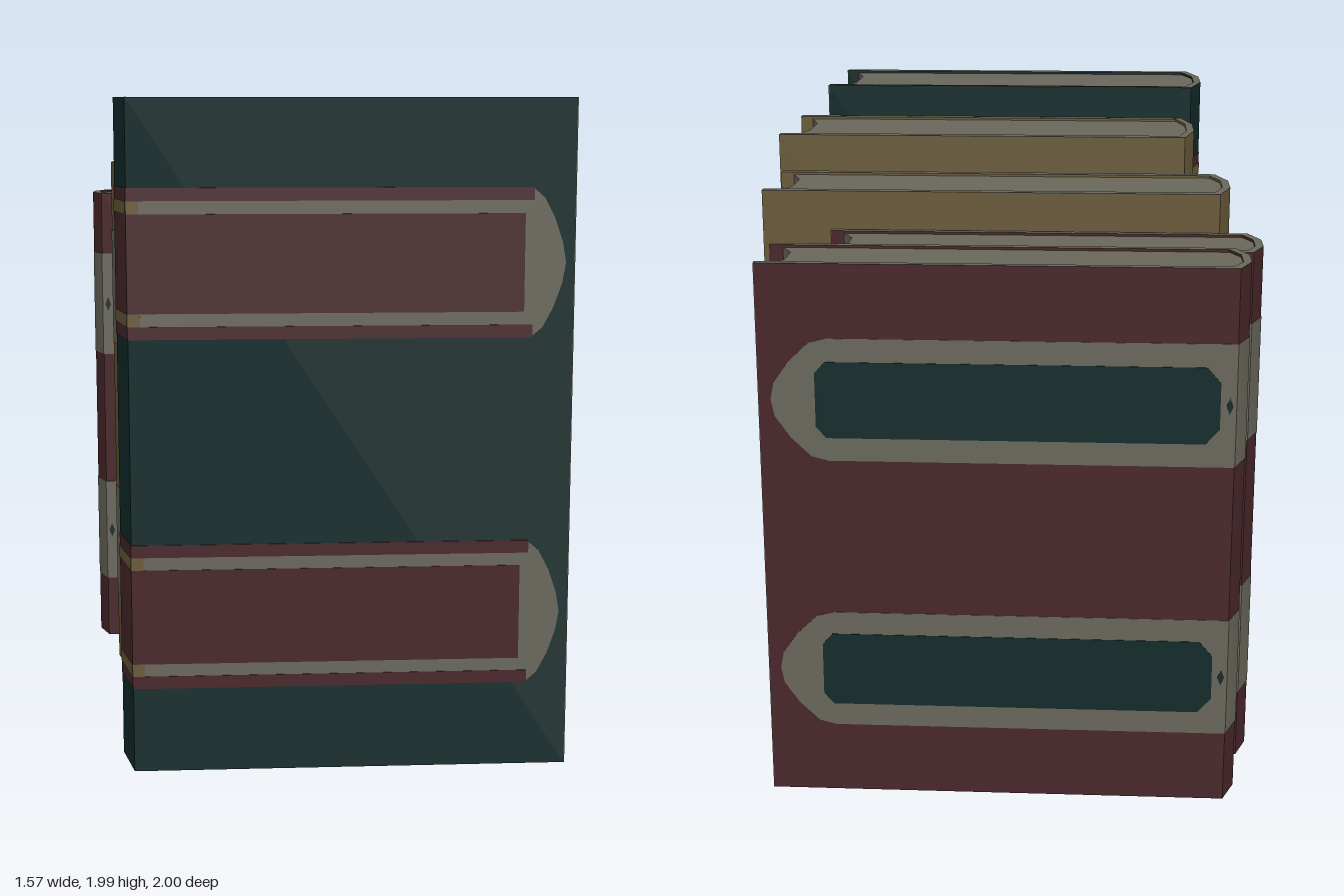
import * as THREE from 'three';
import { toCreasedNormals } from 'three/addons/utils/BufferGeometryUtils.js';

const mat = (name, color) => {
  const m = new THREE.MeshStandardMaterial({ color });
  m.name = name;
  return m;
};

export function createModel() {
  const paper = mat('paper grey', 0x69675b);
  const teal = mat('dark teal', 0x112b2a);
  const red = mat('dark red', 0x48262a);
  const tan = mat('tan', 0x695a3a);
  const model = new THREE.Group();
  model.name = 'rowOfBooks';

  const extrude = (pts, depth) => new THREE.ExtrudeGeometry(
    new THREE.Shape(pts.map(([x, y]) => new THREE.Vector2(x, y))), { depth, bevelEnabled: false });

  // Upright prism from a plan outline that is symmetric in z
  const prism = (pts, y0, y1) => {
    const g = extrude(pts, y1 - y0);
    g.rotateX(-Math.PI / 2);
    g.translate(0, y0, 0);
    return toCreasedNormals(g, 0.6);
  };

  function makeBook({ name, x0, x1, z0, z1, h, t, k, color, panelled }) {
    const book = new THREE.Group();
    book.name = name;
    book.position.z = (z0 + z1) / 2;
    model.add(book);
    const d = z1 - z0, a = d / 2, b = d * 0.17, ai = a - t;
    const add = (part, geometry, material) => {
      const mesh = new THREE.Mesh(geometry, material);
      mesh.name = part;
      book.add(mesh);
    };

    // Rounded spine outlines, outside and inside the binding
    const outer = [[x0 + k, a], [x0, b], [x0, -b], [x0 + k, -a]];
    const inner = [[x0 + k + 0.018, -ai], [x0 + 0.025, -b], [x0 + 0.025, b], [x0 + k + 0.018, ai]];

    // Binding: coloured faces with paper-coloured rims
    add('binding', prism([[x1, a], ...outer, [x1, -a], [x1, -ai], ...inner, [x1, ai]], 0, h), [paper, color]);

    // Page block with hollow fore edge
    add('pages', prism([...inner, [x1 - 0.04, ai], [x1 - 0.075, b], [x1 - 0.075, -b], [x1 - 0.04, -ai]],
      0.008, h - 0.008), paper);

    for (const s of [1, -1]) {
      const edge = new THREE.BoxGeometry(0.002, h, t);
      edge.translate(x1 + 0.001, h / 2, s * (a - t / 2));
      add('coverEdge', edge, paper);
    }

    // Thin plates on both covers, and thin bands around the spine
    const plates = (part, pts, thick, material) => {
      for (const s of [1, -1]) {
        const g = extrude(pts, thick);
        g.translate(0, 0, s > 0 ? a : -a - thick);
        add(part, g, material);
      }
    };
    const rect = (xa, xb, ya, yb) => [[xa, ya], [xb, ya], [xb, yb], [xa, yb]];
    const spineBand = (part, ya, yb, thick, material) => {
      const front = outer.map(([x, z]) => [x - thick, z]);
      const back = outer.map(([x, z]) => [x + 0.01, z * 0.98]).reverse();
      add(part, prism([...front, ...back], ya, yb), material);
    };
    const xs = x0 + k;
    const capPanel = (c, half, profile) => {
      const up = profile.map(([dx, f]) => [x1 - dx, c + f * half]);
      const down = profile.slice(0, -1).map(([dx, f]) => [x1 - dx, c - f * half]);
      return [[xs, c - half], ...down, ...up.reverse(), [xs, c + half]];
    };

    if (panelled) {
      // Panels with red centre, pale border and outer red lines
      for (const c of [0.4725, 1.5125]) {
        plates('coverPanel', capPanel(c, 0.2175,
          [[0.125, 1], [0.09, 0.86], [0.06, 0.6], [0.035, 0.27], [0.025, 0]]), 0.0015, paper);
        plates('panelCentre', rect(xs, x1 - 0.145, c - 0.1425, c + 0.1425), 0.003, red);
        spineBand('spinePanel', c - 0.2175, c + 0.2175, 0.0015, red);
        for (const s of [1, -1]) {
          const [l0, l1] = [c + s * 0.18, c + s * 0.2175].sort((p, q) => p - q);
          const [g0, g1] = [c + s * 0.1425, c + s * 0.18].sort((p, q) => p - q);
          plates('panelLine', rect(xs, x1 - 0.12, l0, l1), 0.003, red);
          plates('giltLine', rect(xs, xs + 0.035, g0, g1), 0.003, tan);
          spineBand('spineGiltLine', g0, g1, 0.003, tan);
        }
      }
      // Red lining along the rear cover's edges
      const side = new THREE.BoxGeometry(0.002, h, 0.014);
      side.translate(x1 + 0.002, h / 2, -a + 0.007);
      add('rearLining', side, red);
      const top = new THREE.BoxGeometry(x1 - xs, 0.002, 0.014);
      top.translate((x1 + xs) / 2, h, -a + 0.013);
      add('rearLining', top, red);
    } else {
      // Pale bands with a long chamfered teal inlay
      const s = h / 1.66;
      for (const c of [0.405 * s, 1.255 * s]) {
        const half = 0.185 * s, e = 0.115 * s, xa = xs + 0.045, xb = x1 - 0.165;
        plates('coverBand', capPanel(c, half,
          [[0.2, 1], [0.15, 0.93], [0.09, 0.62], [0.045, 0.27], [0.035, 0]]), 0.0015, paper);
        spineBand('spineBand', c - half, c + half, 0.0015, paper);
        plates('bandInlay', [[xa, c - e * 0.6], [xa + 0.04, c - e], [xb - 0.03, c - e], [xb, c - e * 0.7],
          [xb, c + e * 0.7], [xb - 0.03, c + e], [xa + 0.04, c + e], [xa, c + e * 0.6]], 0.003, teal);
        plates('bandDot', [[xs + 0.008, c], [xs + 0.018, c - 0.025], [xs + 0.028, c], [xs + 0.018, c + 0.025]],
          0.003, teal);
      }
    }
  }

  [
    { name: 'tealBook', x0: -0.645, x1: 0.685, z0: 0.484, z1: 0.997, h: 1.985, t: 0.04, k: 0.04, color: teal, panelled: true },
    { name: 'largeTanBook', x0: -0.605, x1: 0.78, z0: -0.005, z1: 0.475, h: 1.88, t: 0.038, k: 0.035, color: tan },
    { name: 'smallTanBook', x0: -0.705, x1: 0.765, z0: -0.415, z1: -0.038, h: 1.765, t: 0.032, k: 0.037, color: tan },
    { name: 'smallRedBook', x0: -0.79, x1: 0.545, z0: -0.706, z1: -0.425, h: 1.645, t: 0.024, k: 0.035, color: red },
    { name: 'rearRedBook', x0: -0.735, x1: 0.685, z0: -0.997, z1: -0.718, h: 1.66, t: 0.024, k: 0.037, color: red },
  ].forEach(makeBook);

  return model;
}
